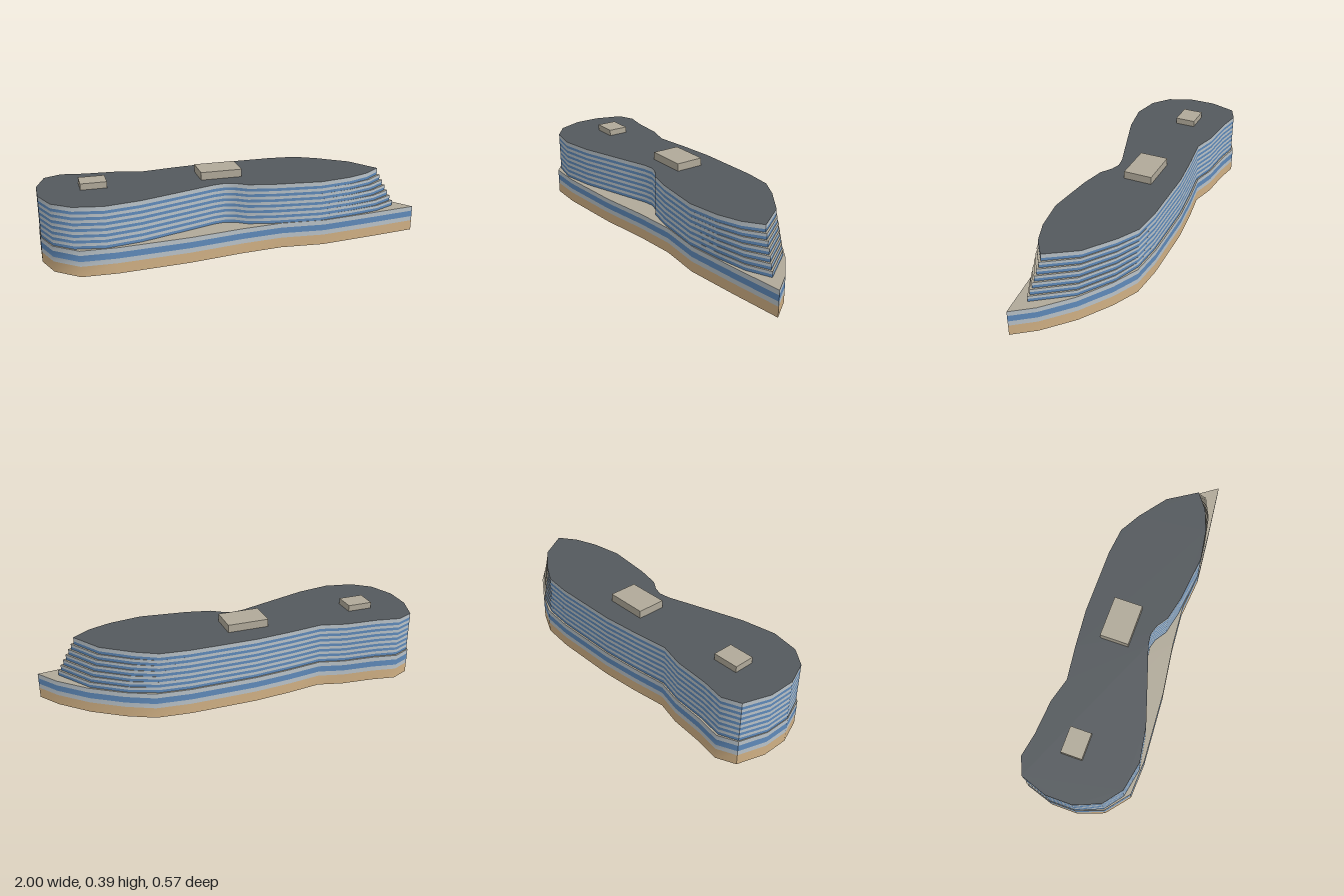
import * as THREE from 'three';
import { toCreasedNormals } from 'three/addons/utils/BufferGeometryUtils.js';

const mat = (name, color, side = THREE.DoubleSide) => {
  const m = new THREE.MeshStandardMaterial({ color, side });
  m.name = name;
  return m;
};

// Ground outline of the podium, as [x, z] running along the back, round the tip and along the front
const PODIUM = [
  [-1, -0.1], [-0.955, -0.245], [-0.86, -0.288], [-0.73, -0.265], [-0.56, -0.25], [-0.43, -0.216],
  [-0.25, -0.24], [-0.05, -0.258], [0.3, -0.26], [0.48, -0.242], [0.62, -0.175], [0.78, -0.07],
  [0.92, 0.06], [1, 0.17], [0.73, 0.2], [0.45, 0.227], [0.22, 0.205], [0, 0.222], [-0.28, 0.26],
  [-0.65, 0.284], [-0.83, 0.275], [-0.95, 0.175], [-1, 0.04],
];

// Outline of the top floor; an optional third and fourth number shift the point on the lowest floor
const TOWER = [
  [-0.997, -0.1], [-0.95, -0.24], [-0.86, -0.278], [-0.74, -0.256], [-0.56, -0.243], [-0.43, -0.208],
  [-0.25, -0.231], [-0.05, -0.25], [0.3, -0.251], [0.45, -0.235, 0.01, 0], [0.56, -0.175, 0.04, -0.005],
  [0.71, -0.065, 0.06, 0], [0.81, 0.09, 0.09, 0.03], [0.72, 0.155, 0.06, 0.02], [0.6, 0.198, 0.02, 0.005],
  [0.43, 0.224], [0.18, 0.195], [0.05, 0.165], [-0.01, 0.125], [-0.06, 0.11], [-0.12, 0.118],
  [-0.25, 0.16], [-0.52, 0.245], [-0.7, 0.275], [-0.85, 0.245], [-0.945, 0.17], [-0.997, 0.04],
];

// Vertical wall strip following an outline
function wall(outline, y0, y1) {
  const pos = [];
  outline.forEach(([ax, az], i) => {
    const [bx, bz] = outline[(i + 1) % outline.length];
    pos.push(ax, y0, az, ax, y1, az, bx, y0, bz);
    pos.push(bx, y0, bz, ax, y1, az, bx, y1, bz);
  });
  const g = new THREE.BufferGeometry();
  g.setAttribute('position', new THREE.Float32BufferAttribute(pos, 3));
  return toCreasedNormals(g, 0.7);
}

// Flat horizontal plate filling an outline
function plate(outline, y) {
  const shape = new THREE.Shape(outline.map(([x, z]) => new THREE.Vector2(x, -z)));
  return new THREE.ShapeGeometry(shape).rotateX(-Math.PI / 2).translate(0, y, 0);
}

export function createModel() {
  const group = new THREE.Group();
  group.name = 'building';
  const sand = mat('sandstone', 0xd0b084);
  const panel = mat('pale grey panel', 0xb9c2c8);
  const glass = mat('blue glass', 0x5f8aba);
  const stone = mat('terrace stone', 0xb0a999);
  const roofing = mat('dark roofing', 0x54595d);

  const add = (name, geometry, material, parent = group) => {
    const m = new THREE.Mesh(geometry, material);
    m.name = name;
    parent.add(m);
  };

  // Podium: open-bottomed ring of bands under a terrace
  const podium = new THREE.Group();
  podium.name = 'podium';
  group.add(podium);
  add('podiumBase', wall(PODIUM, 0, 0.055), sand, podium);
  add('podiumLowerBand', wall(PODIUM, 0.055, 0.08), panel, podium);
  add('podiumWindows', wall(PODIUM, 0.08, 0.112), glass, podium);
  add('podiumUpperBand', wall(PODIUM, 0.112, 0.137), panel, podium);
  add('terrace', plate(PODIUM, 0.137), stone, podium);

  // Seven floors, each stepping back a little at the pointed end
  const FLOORS = 7, PITCH = 0.0297, ROOF = 0.352;
  for (let i = 0; i < FLOORS; i++) {
    const k = 1 - i / (FLOORS - 1);
    const outline = TOWER.map(([x, z, dx = 0, dz = 0]) => [x + dx * k, z + dz * k]);
    const last = i === FLOORS - 1;
    const y = 0.137 + i * PITCH;
    const top = last ? ROOF : y + PITCH;
    const floor = new THREE.Group();
    floor.name = `floor${i + 1}`;
    group.add(floor);
    add('windowBand', wall(outline, y, y + PITCH / 2), glass, floor);
    add('panelBand', wall(outline, y + PITCH / 2, top), panel, floor);
    add(last ? 'roof' : 'setbackLedge', plate(outline, top), last ? roofing : stone, floor);
  }

  // Plant rooms on the roof: x, z, width, height, depth
  for (const [x, z, w, h, d] of [[-0.718, -0.045, 0.135, 0.033, 0.11], [-0.055, -0.051, 0.22, 0.041, 0.152]]) {
    add('roofPlantRoom', new THREE.BoxGeometry(w, h, d).translate(x, ROOF + h / 2, z), stone);
  }
  return group;
}
